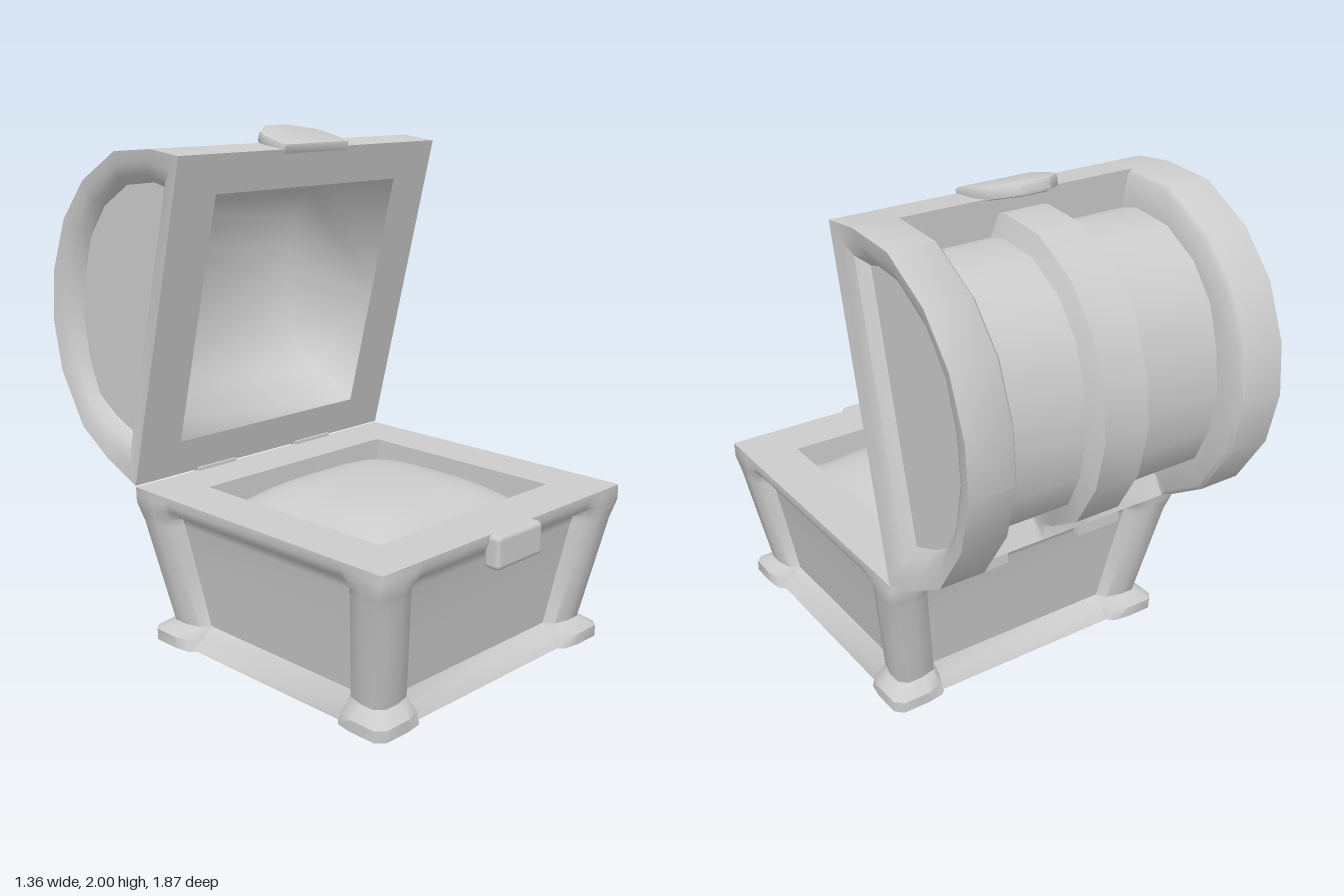
import * as THREE from 'three';
import { toCreasedNormals } from 'three/addons/utils/BufferGeometryUtils.js';
import { RoundedBoxGeometry } from 'three/addons/geometries/RoundedBoxGeometry.js';

const grey = new THREE.MeshStandardMaterial({ color: 0xcccccc });

function addMesh(parent, name, geometry) {
  const mesh = new THREE.Mesh(geometry, grey);
  mesh.name = name;
  parent.add(mesh);
  return mesh;
}

// Skin a list of equal-length rows of [x, y, z] points
function loft(rows, closed, crease = 0.9) {
  const n = rows[0].length, index = [];
  const last = closed ? n : n - 1;
  for (let j = 0; j < rows.length - 1; j++) {
    for (let i = 0; i < last; i++) {
      const k = (i + 1) % n;
      const a = j * n + i, b = j * n + k, c = a + n, d = b + n;
      index.push(a, b, d, a, d, c);
    }
  }
  const geo = new THREE.BufferGeometry();
  geo.setAttribute('position', new THREE.Float32BufferAttribute(rows.flat(2), 3));
  geo.setIndex(index);
  return toCreasedNormals(geo, crease);
}

const BASE_Z = 0.235;

// Horizontal slice of the base: w = half width, e = panel half width,
// p = distance of the panel from the middle, c = corner chamfer
function baseSlice([y, w, e, p, c]) {
  const pts = [];
  const side = (A, B, E, P, place) => {
    const half = [[E, P], [E + 0.025, P + (B - P) * 0.7], [E + 0.09, B], [A - c, B]];
    const full = [...half.map(([a, b]) => [-a, b]).reverse(), ...half];
    full.forEach(([a, b]) => pts.push(place(a, b)));
  };
  const d = 0.023; // the base is slightly shallower than wide
  side(w, w - d, e, p - d, (a, b) => [a, y, BASE_Z + b]);
  side(w - d, w, e - d, p, (a, b) => [b, y, BASE_Z - a]);
  side(w, w - d, e, p - d, (a, b) => [-a, y, BASE_Z - b]);
  side(w - d, w, e - d, p, (a, b) => [-b, y, BASE_Z + a]);
  return pts;
}

function buildBase(group) {
  const rows = [
    [0, 0.645, 0.41, 0.61, 0.03],
    [0.045, 0.645, 0.41, 0.575, 0.03],
    [0.085, 0.592, 0.412, 0.535, 0.03],
    [0.3, 0.632, 0.445, 0.568, 0.03],
    [0.5, 0.667, 0.477, 0.6, 0.025],
    [0.53, 0.672, 0.48, 0.608, 0.015],
    [0.57, 0.68, 0.48, 0.665, 0.006],
    [0.6, 0.68, 0.48, 0.68, 0.004],
    [0.63, 0.68, 0.48, 0.68, 0.004],
    [0.63, 0.478, 0.3, 0.478, 0],
    [0.48, 0.476, 0.3, 0.476, 0],
  ].map(baseSlice);
  rows.unshift(rows[0].map(() => [0, 0, BASE_Z])); // closed underside
  addMesh(group, 'base', loft(rows, true));

  // Heaped contents
  const fill = new THREE.PlaneGeometry(0.96, 0.914, 20, 20).rotateX(-Math.PI / 2);
  const pos = fill.attributes.position;
  for (let i = 0; i < pos.count; i++) {
    const u = Math.abs(pos.getX(i) / 0.48), v = Math.abs(pos.getZ(i) / 0.457);
    pos.setY(i, 0.52 + 0.14 * (1 - u ** 3.5) * (1 - v ** 3.5));
  }
  fill.computeVertexNormals();
  addMesh(group, 'contents', fill).position.z = BASE_Z;

  addMesh(group, 'lowerClasp', new RoundedBoxGeometry(0.26, 0.13, 0.07, 2, 0.02))
    .position.set(0, 0.565, 0.9);

  for (const s of [1, -1]) {
    const hinge = new THREE.Group();
    hinge.name = 'hinge';
    addMesh(hinge, 'hingePlate', new THREE.BoxGeometry(0.2, 0.09, 0.03)).position.set(0, 0.595, -0.425);
    const leaf = addMesh(hinge, 'hingeLeaf', new THREE.BoxGeometry(0.2, 0.025, 0.07));
    leaf.position.set(0, 0.64, -0.45);
    leaf.rotation.x = 0.3;
    hinge.position.x = s * 0.27;
    group.add(hinge);
  }
}

// Lid profiles as [z, y], from the front edge over the back to the hinge
const OUTER = [[-0.1, 1.92], [-0.26, 1.937], [-0.48, 1.92], [-0.69, 1.8], [-0.83, 1.64], [-0.915, 1.43],
  [-0.935, 1.23], [-0.89, 1.02], [-0.76, 0.81], [-0.6, 0.71], [-0.42, 0.635]];
const INNER = [[-0.25, 1.79], [-0.33, 1.81], [-0.5, 1.79], [-0.65, 1.7], [-0.75, 1.57], [-0.8, 1.41],
  [-0.82, 1.25], [-0.795, 1.08], [-0.735, 0.94], [-0.63, 0.87], [-0.5, 0.815]];
const CENTRE = [-0.5, 1.3];

const mix = (a, b, t) => [a[0] + (b[0] - a[0]) * t, a[1] + (b[1] - a[1]) * t];
const at = (x, profile) => profile.map(([z, y]) => [x, y, z]);
const openingZ = (y) => -0.42 + (y - 0.64) * 0.25;

function buildLid(group) {
  const lid = new THREE.Group();
  lid.name = 'lid';
  group.add(lid);

  // Barrel with raised end bands, middle band and rims; t = 0 raised, 1 sunken
  const barrel = (t) => [OUTER[0], OUTER[1], mix(OUTER[1], INNER[0], t),
    ...OUTER.slice(1, 10).map((o, i) => mix(o, INNER[i + 1], t)),
    mix(OUTER[9], INNER[10], t), [-0.56, 0.692], OUTER[10]];
  const half = [[0.68, 0], [0.5, 0], [0.485, 0.15], [0.475, 1], [0.125, 1], [0.095, 0.42]];
  const stations = [...half, ...half.map(([x, t]) => [-x, t]).reverse()];
  addMesh(lid, 'lidBarrel', loft(stations.map(([x, t]) => at(x, barrel(t))), false));

  // Ends with a rounded border and a sunken panel
  for (const s of [1, -1]) {
    const ring = [[0.68, 0], [0.672, 0.4], [0.652, 0.75], [0.61, 1]];
    const rows = ring.map(([x, t]) => at(s * x, OUTER.map((o, i) => mix(o, INNER[i], t))));
    rows.push(at(s * 0.61, INNER.map(() => CENTRE)));
    if (s > 0) rows.forEach((r) => r.reverse());
    addMesh(lid, s > 0 ? 'leftLidEnd' : 'rightLidEnd', loft(rows, true, 0.7));
  }

  // Flat frame around the opening
  const rect = (w, lo, hi) => [[-w, lo], [w, lo], [w, hi], [-w, hi]].map(([x, y]) => [x, y, openingZ(y)]);
  addMesh(lid, 'lidFrame', loft([rect(0.68, 0.635, 1.92), rect(0.48, 0.78, 1.77)], true));

  // Hollow inside, shaded softly into its side walls
  const cavity = [[openingZ(1.77), 1.77], ...INNER.slice(1).map((p) => mix(p, CENTRE, 0.06)),
    [openingZ(0.78), 0.78]];
  const middle = cavity.map(() => [openingZ(1.275), 1.275]);
  addMesh(lid, 'lidInside', loft(
    [at(-0.48, middle), at(-0.48, cavity), at(0.48, cavity), at(0.48, middle)], false, 1.7));

  // Clasp plate on the front edge
  const shape = new THREE.Shape([[-0.16, 0.01], [0.16, 0.01], [0.16, 0.12], [0.14, 0.17], [0.1, 0.2], [0.055, 0.24],
    [-0.055, 0.24], [-0.1, 0.2], [-0.14, 0.17], [-0.16, 0.12]].map(([x, y]) => new THREE.Vector2(x, y)));
  const plate = new THREE.ExtrudeGeometry(shape, {
    depth: 0.025, bevelThickness: 0.012, bevelSize: 0.01, bevelSegments: 2,
  }).rotateX(-Math.PI / 2);
  const clasp = addMesh(lid, 'upperClasp', toCreasedNormals(plate, 0.75));
  clasp.position.set(0, 1.905, -0.103);
  clasp.rotation.x = 0.24;
}

export function createModel() {
  const group = new THREE.Group();
  group.name = 'chest';
  buildBase(group);
  buildLid(group);
  return group;
}
